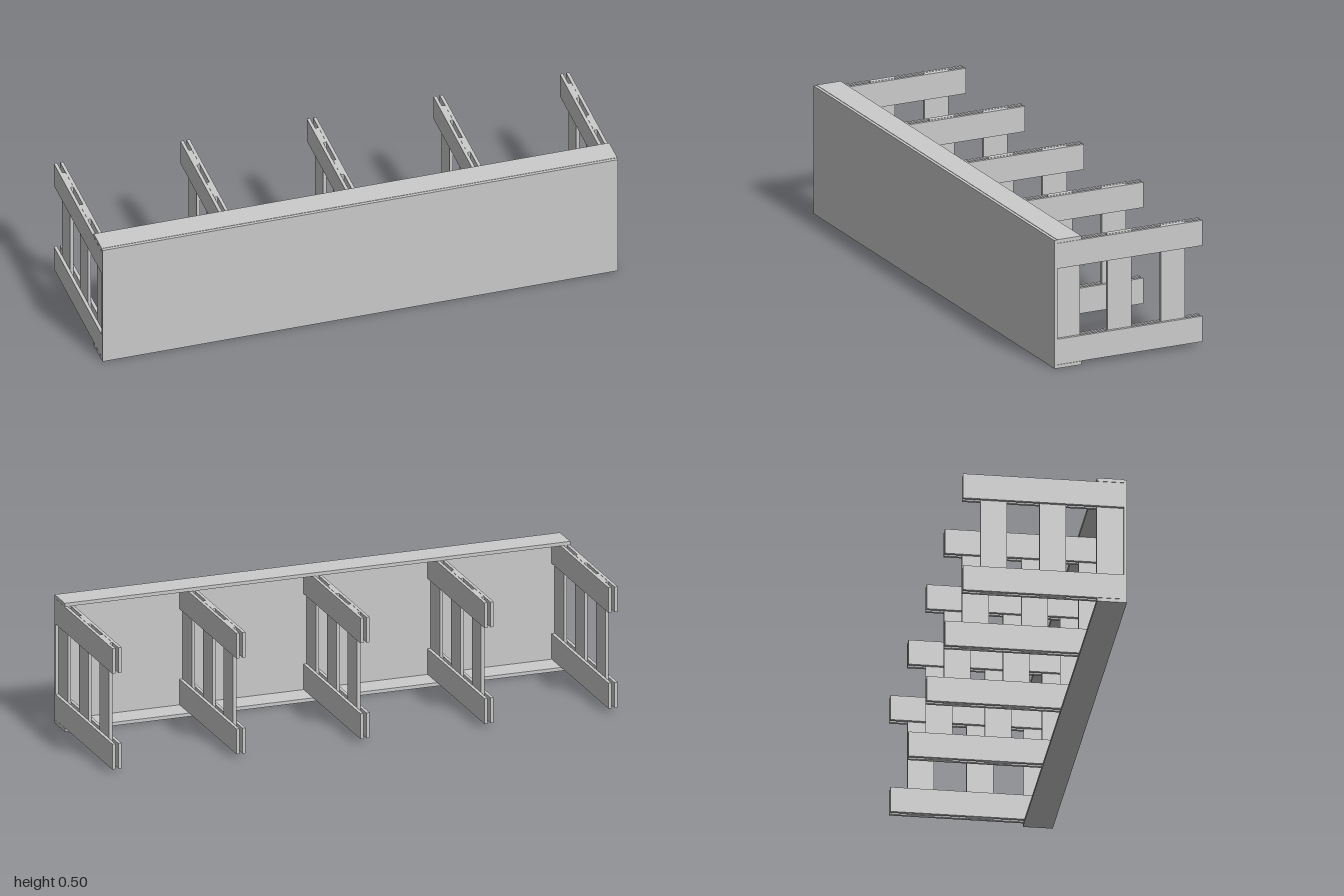
import * as THREE from 'three';

const material = new THREE.MeshStandardMaterial({ color: 0xcccccc, flatShading: true });
const T = 0.0123; // board thickness

// Box given by its min and max on each axis
function board(name, [x0, x1], [y0, y1], [z0, z1]) {
  const mesh = new THREE.Mesh(new THREE.BoxGeometry(x1 - x0, y1 - y0, z1 - z0), material);
  mesh.position.set((x0 + x1) / 2, (y0 + y1) / 2, (z0 + z1) / 2);
  mesh.name = name;
  return mesh;
}

// Ladder frame: three posts sandwiched between paired top and bottom rails
function createFrame() {
  const frame = new THREE.Group();
  frame.name = 'supportFrame';
  const posts = [[0.195, 0.295], [-0.019, 0.081], [-0.24, -0.14]];
  posts.forEach((z, i) => {
    const shift = [0, 0.001, -0.001][i];
    frame.add(board('post', [-T / 2, T / 2], [0.0145 + shift, 0.489 + shift], z));
  });
  for (const side of [-1, 1]) {
    const x = [side * T - T / 2, side * T + T / 2];
    frame.add(board('topRail', x, [0.39, 0.489], [-0.306, 0.295]));
    frame.add(board('bottomRail', x, [0.0145, 0.114], [-0.306, 0.295]));
  }
  return frame;
}

export function createModel() {
  const model = new THREE.Group();
  model.name = 'panelledBase';

  // Front panel with a ledge along its top and bottom
  model.add(board('frontPanel', [-1, 1], [0.001, 0.502], [0.295, 0.307]));
  model.add(board('topLedge', [-1, 1], [0.49, 0.5035], [0.195, 0.295]));
  model.add(board('bottomLedge', [-1, 1], [0, 0.0135], [0.195, 0.295]));

  // Five evenly spaced support frames
  const reach = 1 - 1.5 * T;
  for (let i = 0; i < 5; i++) {
    const frame = createFrame();
    frame.position.x = -reach + (i * reach) / 2;
    model.add(frame);
  }
  return model;
}
